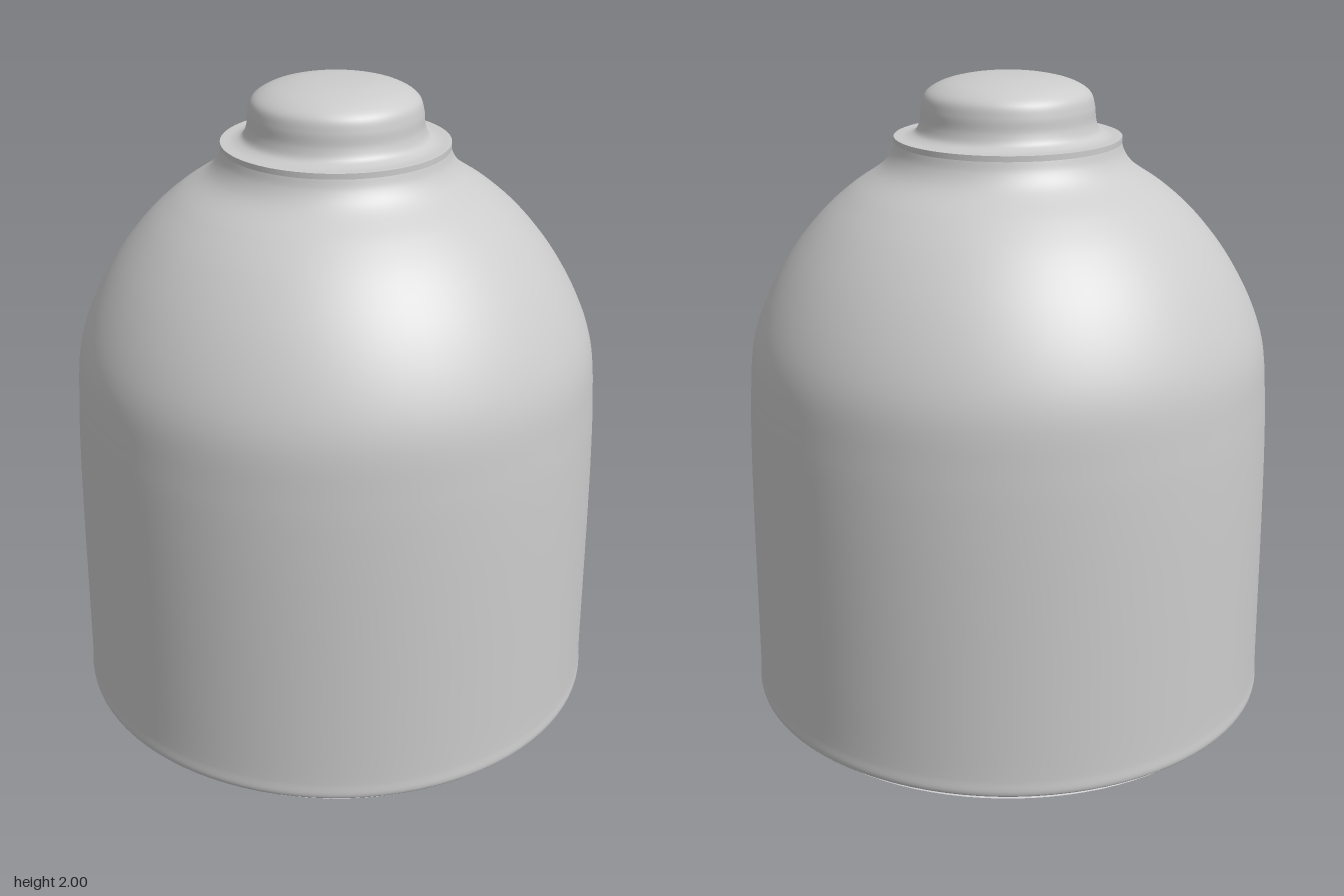
import * as THREE from 'three';

const material = new THREE.MeshStandardMaterial({ color: 0xcccccc, side: THREE.DoubleSide });

// Revolve a profile of [radius, height] pairs; smooth profiles pass through a spline first
function revolve(name, profile, samples = 0) {
  let points = profile.map(([r, y]) => new THREE.Vector2(r, y));
  if (samples) {
    const curve = new THREE.CatmullRomCurve3(points.map(p => new THREE.Vector3(p.x, p.y, 0)), false, 'centripetal');
    points = curve.getPoints(samples).map(p => new THREE.Vector2(Math.max(p.x, 0), p.y));
  }
  const mesh = new THREE.Mesh(new THREE.LatheGeometry(points, 96), material);
  mesh.name = name;
  return mesh;
}

export function createModel() {
  const model = new THREE.Group();
  model.name = 'domedVessel';

  // Shallow hollow underneath, resting on its sharp rim
  const dish = [];
  for (let i = 0; i <= 16; i++) {
    const t = i / 16;
    dish.push([0.79 * t, 0.16 * (1 - t * t)]);
  }
  model.add(revolve('concaveBase', dish));

  // Flat underside between the hollow and the wall
  model.add(revolve('underside', [[0.72, 0.025], [0.812, 0.025]]));

  // Straight wall running into the rounded shoulder and short neck
  model.add(revolve('body', [
    [0.812, 0.025], [0.823, 0.028], [0.828, 0.04], [0.826, 0.08], [0.824, 0.3],
    [0.822, 0.6], [0.818, 0.85], [0.811, 1.02], [0.795, 1.185], [0.755, 1.305],
    [0.675, 1.45], [0.575, 1.575], [0.485, 1.655], [0.385, 1.725], [0.355, 1.765], [0.342, 1.805],
  ], 100));

  // Thin flange under the cap
  model.add(revolve('flangeUnderside', [[0.32, 1.798], [0.346, 1.798]]));
  model.add(revolve('flangeEdge', [[0.346, 1.798], [0.346, 1.815]]));

  // Flange top flowing up into the rounded cap
  model.add(revolve('cap', [
    [0.346, 1.815], [0.305, 1.818], [0.28, 1.83], [0.267, 1.86], [0.262, 1.905],
    [0.25, 1.942], [0.21, 1.97], [0.14, 1.99], [0.07, 1.998], [0, 2],
  ], 60));

  return model;
}
